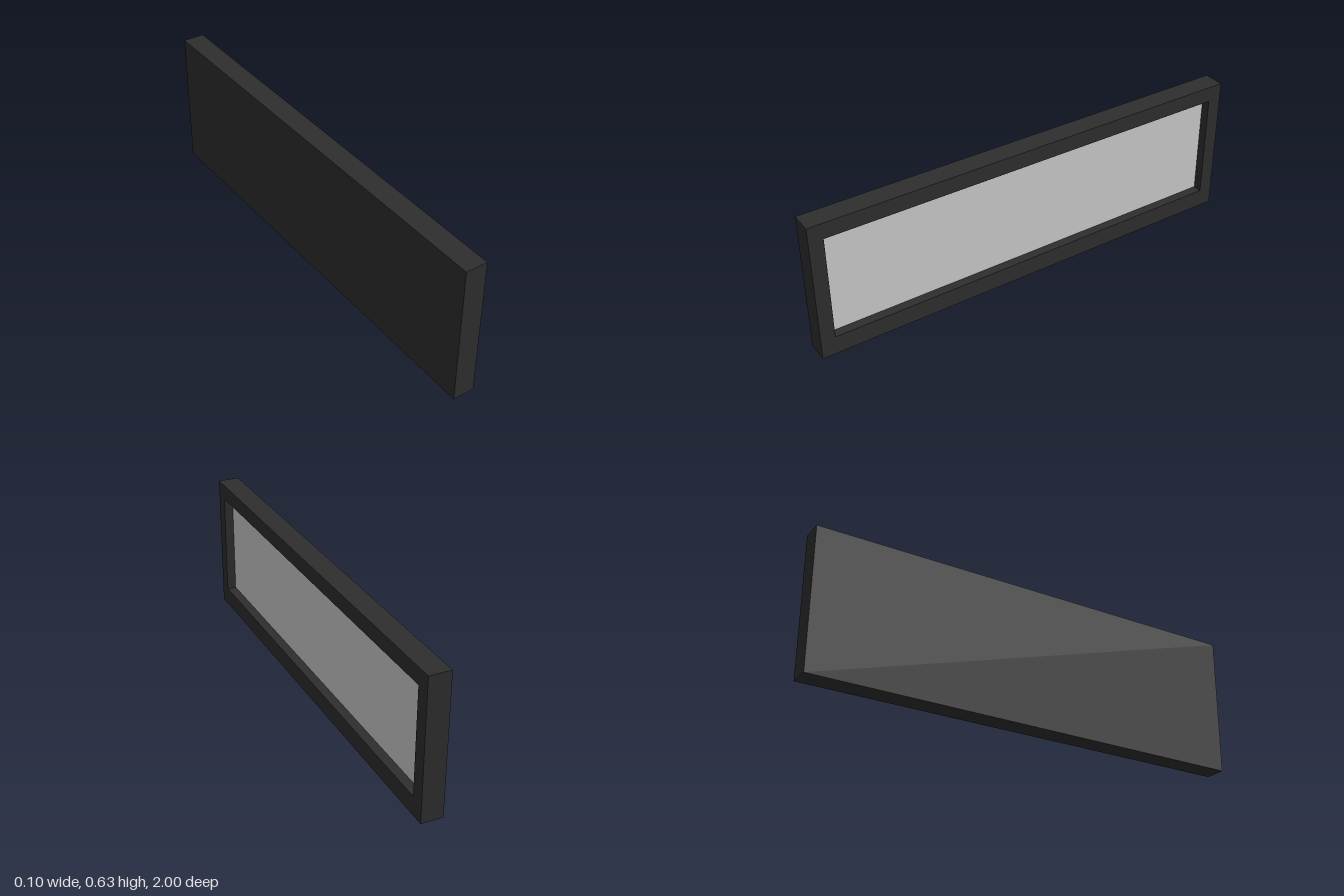
import * as THREE from 'three';

const LENGTH = 2, HEIGHT = 0.627, THICK = 0.096;
const OPEN_HALF = 0.937, OPEN_BOTTOM = 0.083, OPEN_TOP = 0.557;
const PANEL_X = 0.005; // depth of the recessed panel face

// Closed rectangle as a list of points
function rect(x0, y0, x1, y1) {
  return [[x0, y0], [x1, y0], [x1, y1], [x0, y1]].map(([x, y]) => new THREE.Vector2(x, y));
}

export function createModel() {
  const group = new THREE.Group();
  const darkFrame = new THREE.MeshStandardMaterial({ color: 0x2e2e2e });
  darkFrame.name = 'darkFrame';
  const lightPanel = new THREE.MeshStandardMaterial({ color: 0xcccccc });
  lightPanel.name = 'lightPanel';

  const add = (name, geometry, material) => {
    const mesh = new THREE.Mesh(geometry, material);
    mesh.name = name;
    group.add(mesh);
    return mesh;
  };

  // Raised border around the opening, extruded towards +x
  const border = new THREE.Shape(rect(-LENGTH / 2, 0, LENGTH / 2, HEIGHT));
  border.holes.push(new THREE.Path(rect(-OPEN_HALF, OPEN_BOTTOM, OPEN_HALF, OPEN_TOP).reverse()));
  const borderGeometry = new THREE.ExtrudeGeometry(border, { depth: THICK / 2 - PANEL_X, bevelEnabled: false });
  add('frame', borderGeometry.rotateY(Math.PI / 2), darkFrame).position.x = PANEL_X;

  // Solid backing behind the border
  const backDepth = PANEL_X + THICK / 2;
  add('backing', new THREE.BoxGeometry(backDepth, HEIGHT, LENGTH), darkFrame)
    .position.set(PANEL_X - backDepth / 2, HEIGHT / 2, 0);

  // Light panel set into the recess
  add('panel', new THREE.BoxGeometry(0.004, OPEN_TOP - OPEN_BOTTOM, OPEN_HALF * 2), lightPanel)
    .position.set(PANEL_X, (OPEN_TOP + OPEN_BOTTOM) / 2, 0);

  return group;
}
